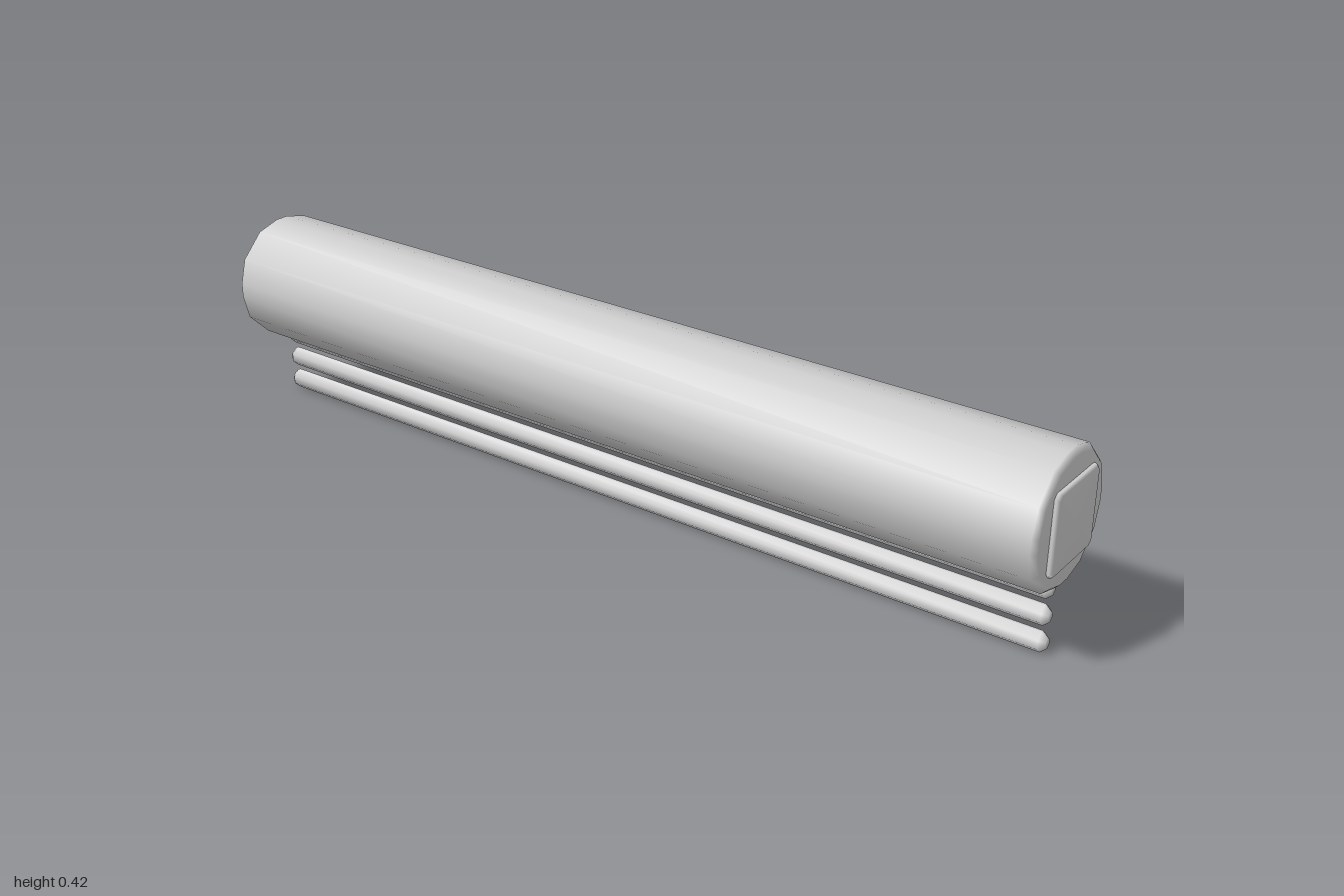
import * as THREE from 'three';

const material = new THREE.MeshStandardMaterial({ color: 0xcccccc });

// Mirror one quadrant of [y, z] points into a closed outline around the x axis
function outline(quadrant) {
  const back = [...quadrant].reverse();
  return [
    ...quadrant,
    ...back.map(([y, z]) => [-y, z]),
    ...quadrant.map(([y, z]) => [-y, -z]),
    ...back.map(([y, z]) => [y, -z]),
  ];
}

// Smooth prism along x; each station is [x, scale of the cross-section]
function bar(name, quadrant, stations, y) {
  const ring = outline(quadrant);
  const n = ring.length;
  const positions = [];
  const index = [];
  for (const [x, s] of stations) for (const [py, pz] of ring) positions.push(x, py * s, pz * s);
  for (let j = 0; j < stations.length - 1; j++) {
    for (let i = 0; i < n; i++) {
      const k = (i + 1) % n;
      const a = j * n + i, b = j * n + k, c = b + n, d = a + n;
      index.push(a, b, c, a, c, d);
    }
  }
  // End faces
  const last = (stations.length - 1) * n;
  const start = stations.length * n;
  positions.push(stations[0][0], 0, 0, stations[stations.length - 1][0], 0, 0);
  for (let i = 0; i < n; i++) {
    const k = (i + 1) % n;
    index.push(start, k, i, start + 1, last + i, last + k);
  }
  const geometry = new THREE.BufferGeometry();
  geometry.setAttribute('position', new THREE.Float32BufferAttribute(positions, 3));
  geometry.setIndex(index);
  geometry.computeVertexNormals();
  const mesh = new THREE.Mesh(geometry, material);
  mesh.name = name;
  mesh.position.y = y;
  return mesh;
}

// Symmetric stations with a bevel at both ends
const beveled = (half, bevel, scale) => [
  [-half, scale], [-half + bevel, 1], [half - bevel, 1], [half, scale],
];

export function createModel() {
  const group = new THREE.Group();
  const axisY = 0.283;

  // Main tube
  const tube = [[0.136, 0.016], [0.1215, 0.07], [0.07, 0.1215], [0.016, 0.136]];
  group.add(bar('mainTube', tube, beveled(0.99, 0.011, 0.92), axisY));

  // Square end plates, one bar through the tube showing at both ends
  const plate = [[0.083, 0.074], [0.074, 0.083]];
  group.add(bar('endPlates', plate, beveled(1, 0.005, 0.95), axisY));

  // Thin rods below the tube
  const rod = [[0.022, 0.003], [0.009, 0.017]];
  for (let i = 0; i < 3; i++) {
    group.add(bar('lowerRod' + (i + 1), rod, beveled(0.973, 0.012, 0.5), 0.022 + i * 0.0565));
  }
  return group;
}
